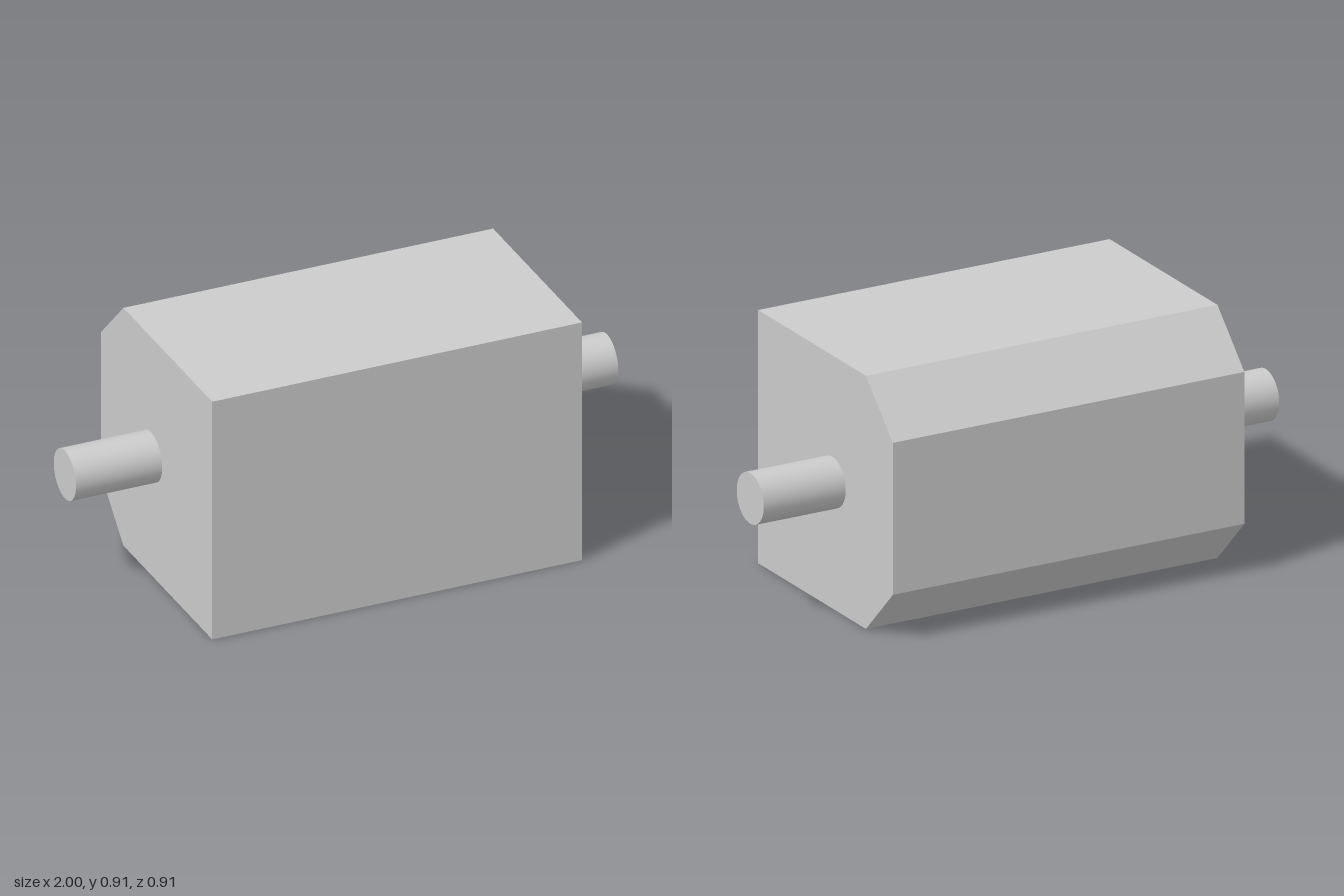
import * as THREE from 'three';

const HALF = 0.4545;      // half the height and depth of the body
const CHAMFER = 0.1818;   // bevel on the two rear edges
const BODY_LENGTH = 1.3636;
const SHAFT_RADIUS = 0.0909;

export function createModel() {
  const group = new THREE.Group();
  const material = new THREE.MeshStandardMaterial({ color: 0xcccccc });

  // Body: side profile (shape x runs towards the back) extruded along x
  const profile = new THREE.Shape([
    [-HALF, 0],
    [HALF - CHAMFER, 0],
    [HALF, CHAMFER],
    [HALF, 2 * HALF - CHAMFER],
    [HALF - CHAMFER, 2 * HALF],
    [-HALF, 2 * HALF],
  ].map(([x, y]) => new THREE.Vector2(x, y)));
  const bodyGeometry = new THREE.ExtrudeGeometry(profile, { depth: BODY_LENGTH, bevelEnabled: false });
  bodyGeometry.translate(0, 0, -BODY_LENGTH / 2).rotateY(Math.PI / 2);
  const body = new THREE.Mesh(bodyGeometry, material);
  body.name = 'body';
  group.add(body);

  // Shaft stubs: one round pin out of each end
  const stubLength = 1 - BODY_LENGTH / 2;
  const stubGeometry = new THREE.CylinderGeometry(SHAFT_RADIUS, SHAFT_RADIUS, stubLength, 48);
  stubGeometry.rotateZ(Math.PI / 2);
  for (const [name, side] of [['leftShaft', 1], ['rightShaft', -1]]) {
    const stub = new THREE.Mesh(stubGeometry, material);
    stub.name = name;
    stub.position.set(side * (1 - stubLength / 2), HALF, -0.0455);
    group.add(stub);
  }

  return group;
}
